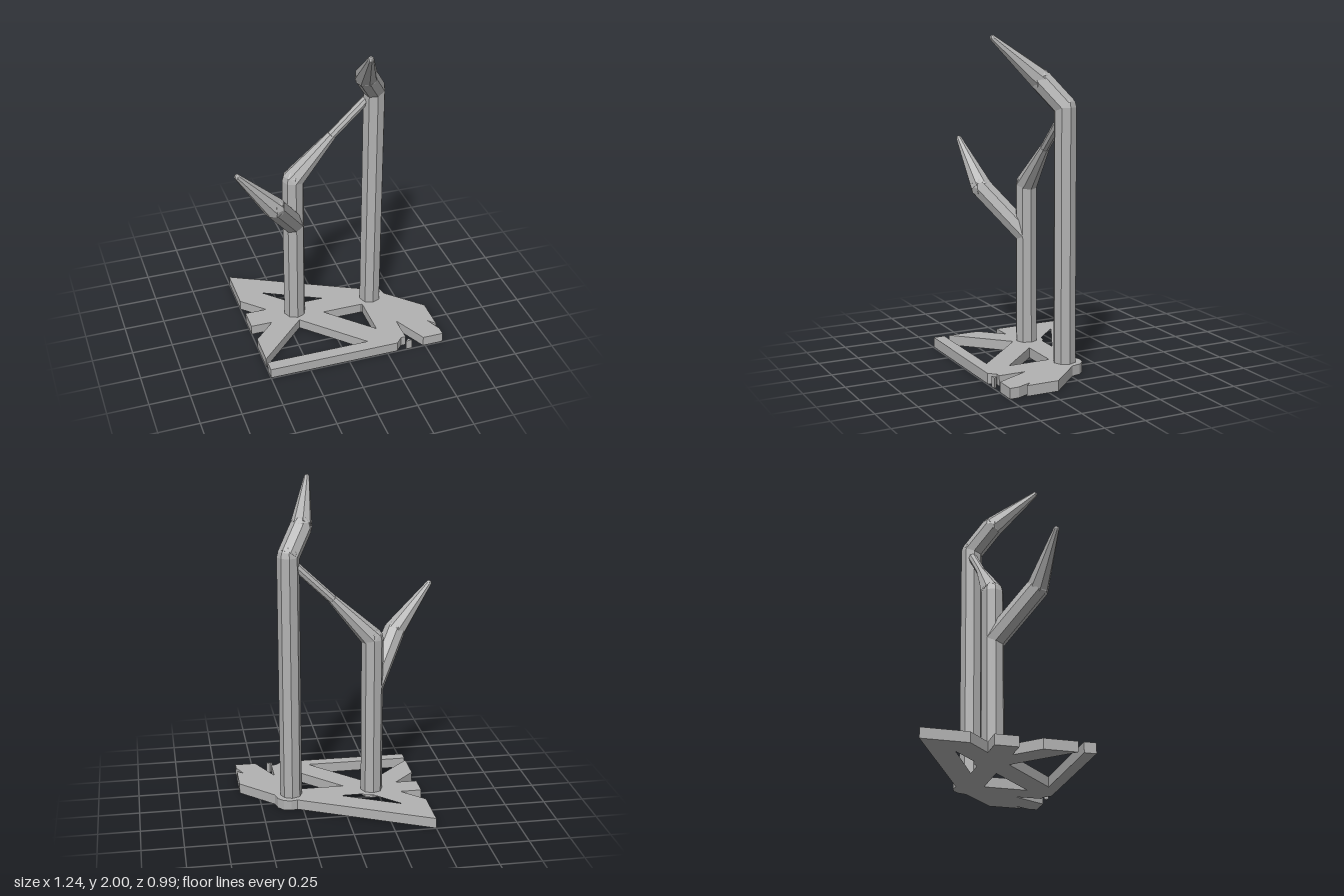
import * as THREE from 'three';

export function createModel() {
  const model = new THREE.Group();
  const grey = new THREE.MeshStandardMaterial({ color: 0xb2b2b2, flatShading: true });
  grey.name = 'grey';
  const V = (p) => new THREE.Vector3(...p);
  const up = new THREE.Vector3(0, 1, 0);

  function add(name, geometry) {
    const mesh = new THREE.Mesh(geometry, grey);
    mesh.name = name;
    model.add(mesh);
    return mesh;
  }

  // Eight-sided rod between two points, tapering from r0 to r1
  function rod(name, a, b, r0, r1 = r0) {
    const from = V(a), to = V(b), dir = to.clone().sub(from);
    const mesh = add(name, new THREE.CylinderGeometry(r1, r0, dir.length(), 8));
    mesh.position.copy(from).addScaledVector(dir, 0.5);
    mesh.quaternion.setFromUnitVectors(up, dir.normalize());
  }

  // Faceted ball that closes a rod end
  function joint(name, p, r) {
    add(name, new THREE.SphereGeometry(r, 8, 6)).position.copy(V(p));
  }

  // Plate pieces are outlined in x, z and extruded upwards
  const flat = (pts) => pts.map(([x, z]) => new THREE.Vector2(x, -z));
  function plate(name, outline, holes = []) {
    const shape = new THREE.Shape(flat(outline));
    holes.forEach((h) => shape.holes.push(new THREE.Path(flat(h))));
    const geometry = new THREE.ExtrudeGeometry(shape, { depth: 0.063, bevelEnabled: false });
    add(name, geometry.rotateX(-Math.PI / 2));
  }

  // Base with cut-outs
  plate('base', [
    [-0.5, -0.497], [0.285, -0.105], [0.325, -0.113], [0.37, -0.1], [0.402, -0.065], [0.415, -0.01],
    [0.617, 0.19], [0.617, 0.39], [0.575, 0.347], [0.617, 0.44], [0.617, 0.495], [0.487, 0.495],
    [0.385, 0.287], [0.385, 0.453], [0.355, 0.453], [0.315, 0.495], [-0.5, 0.495], [-0.5, 0.423],
    [0.145, 0.423], [-0.193, 0.085], [-0.5, 0.39], [-0.5, 0.19], [-0.365, 0.055], [-0.5, 0.055],
    [-0.5, -0.085], [-0.365, -0.085], [-0.5, -0.218],
  ], [
    [[-0.34, -0.26], [0.01, -0.085], [-0.128, -0.085], [-0.142, -0.102], [-0.195, -0.115]],
    [[-0.025, 0.055], [0.24, 0.32], [0.24, 0.06], [0.233, 0.055]],
  ]);
  plate('baseChip', [[0.392, 0.473], [0.412, 0.495], [0.372, 0.495]]);

  const R = 0.068, TIP = 0.018;
  const shortX = -0.195, tallX = 0.313, z = -0.01;

  // Upright posts
  const shortTop = [shortX, 1.055, z], tallTop = [tallX, 1.585, z];
  rod('shortPost', [shortX, 0.03, z], shortTop, R);
  joint('shortPostTop', shortTop, R);
  rod('tallPost', [tallX, 0.03, z], tallTop, R);
  joint('tallPostTop', tallTop, R);

  // Brace joining the posts
  const neck = [0.05, 1.315, -0.014];
  rod('braceTaper', shortTop, neck, R, 0.03);
  rod('braceBar', neck, [0.3, 1.555, -0.014], 0.028);

  // Bent arms ending in a pointed tip
  const arms = [
    ['shortArm', [shortX, 0.74, z], [-0.377, 1.03, 0.212], [-0.602, 1.31, 0.262]],
    ['tallArm', tallTop, [0.22, 1.735, 0.1], [0.146, 1.98, 0.37]],
  ];
  for (const [name, start, elbow, end] of arms) {
    rod(name, start, elbow, R);
    joint(name + 'Elbow', elbow, R);
    rod(name + 'Spike', elbow, end, R, TIP);
    joint(name + 'Tip', end, TIP);
  }
  return model;
}
